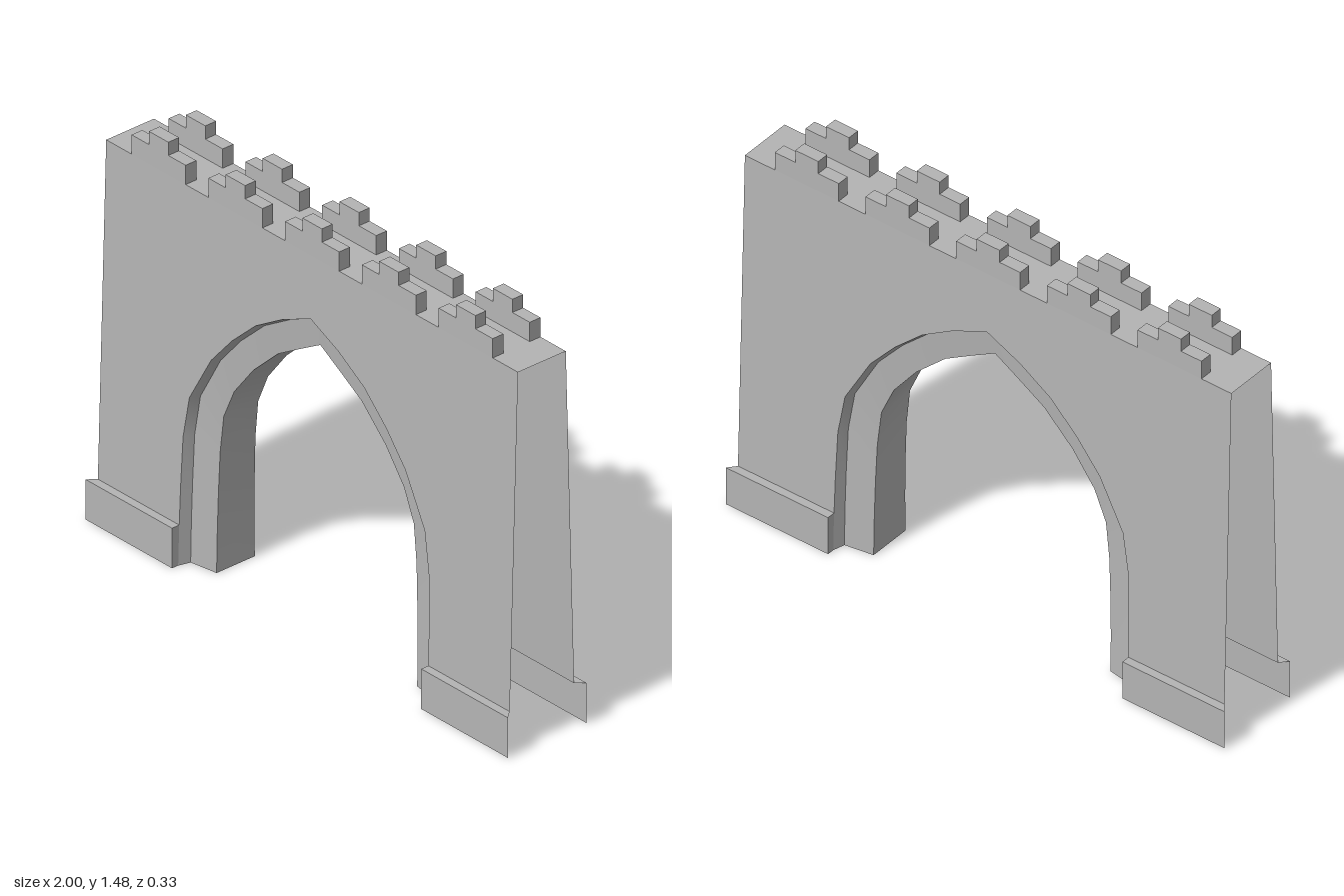
import * as THREE from 'three';

const stone = new THREE.MeshStandardMaterial({ color: 0xb4b4b4, side: THREE.DoubleSide });
stone.name = 'stone grey';

const TOP = 1.36, HALF = 0.975, PLINTH = 0.145;
const wallZ = (y) => 0.139 - 0.0287 * y; // the walls lean inward

// Right half of the arch, bottom to apex: outer edge and inner opening
const OUTER = [[0.59, 0], [0.59, PLINTH], [0.588, 0.28], [0.582, 0.465], [0.557, 0.615], [0.46, 0.79],
  [0.365, 0.9], [0.257, 1.0], [0.134, 1.075], [0, 1.135]];
const INNER = [[0.475, 0], [0.474, 0.15], [0.471, 0.29], [0.465, 0.44], [0.45, 0.575], [0.402, 0.685],
  [0.313, 0.8], [0.198, 0.908], [0.1, 0.967], [0, 1.025]];

function mesh(name, geometry) {
  const m = new THREE.Mesh(geometry, stone);
  m.name = name;
  return m;
}

// Smooth strip of quads between two rows of points; side = -1 mirrors it in x
function strip(name, a, b, side) {
  const pos = [], index = [];
  a.forEach((p, i) => {
    pos.push(side * p[0], p[1], p[2], side * b[i][0], b[i][1], b[i][2]);
    if (i === 0) return;
    const k = 2 * i - 2;
    const tris = [[k, k + 2, k + 1], [k + 1, k + 2, k + 3]];
    for (const [u, v, w] of tris) index.push(...(side > 0 ? [u, v, w] : [u, w, v]));
  });
  const g = new THREE.BufferGeometry();
  g.setAttribute('position', new THREE.Float32BufferAttribute(pos, 3));
  g.setIndex(index);
  g.computeVertexNormals();
  return mesh(name, g);
}

// Leaning wall face with the arch cut out of its lower edge
function wallGeometry() {
  const arch = OUTER.slice(1);
  const outline = [
    [HALF, PLINTH], [HALF, TOP], [-HALF, TOP], [-HALF, PLINTH],
    ...arch.map(([x, y]) => [-x, y]),
    ...arch.slice(0, -1).reverse(),
  ];
  const g = new THREE.ShapeGeometry(new THREE.Shape(outline.map(([x, y]) => new THREE.Vector2(x, y))));
  const p = g.attributes.position;
  for (let i = 0; i < p.count; i++) p.setZ(i, wallZ(p.getY(i)));
  g.computeVertexNormals();
  return g;
}

// Stepped battlement block
function merlonGeometry() {
  const w = 0.128, t = 0.046, h1 = 0.07, h2 = 0.118;
  const outline = [[-w, 0], [w, 0], [w, h1], [t, h1], [t, h2], [-t, h2], [-t, h1], [-w, h1]];
  const shape = new THREE.Shape(outline.map(([x, y]) => new THREE.Vector2(x, y)));
  return new THREE.ExtrudeGeometry(shape, { depth: 0.045, bevelEnabled: false });
}

// Rows of the arch moulding, front to middle
const outerRow = OUTER.map(([x, y]) => [x, y, wallZ(y)]);
const stepRow = OUTER.map(([x, y], i) => {
  const sx = x + (INNER[i][0] - x) * 0.1, sy = y + (INNER[i][1] - y) * 0.1;
  return [sx, sy, 0.097 - 0.0205 * sy];
});
const innerRow = INNER.map(([x, y]) => [x, y, 0.08 - 0.014 * y]);
const backZ = ([x, y, z]) => [x, y, -z];

// One face of the gate: wall, arch moulding, plinths and battlements
function buildFace(name) {
  const face = new THREE.Group();
  face.name = name;
  face.add(mesh('wall', wallGeometry()));

  const z0 = 0.165, z1 = wallZ(PLINTH);
  for (const s of [1, -1]) {
    face.add(strip('archStep', outerRow, stepRow, s));
    face.add(strip('archBevel', stepRow, innerRow, s));
    face.add(strip('plinthFront', [[0.59, 0, z0], [1, 0, z0]], [[0.59, PLINTH, z0], [1, PLINTH, z0]], s));
    face.add(strip('plinthLedge', [[0.59, PLINTH, z0], [1, PLINTH, z0]], [[0.59, PLINTH, z1], [HALF, PLINTH, z1]], s));
    face.add(strip('plinthEnd', [[0.59, 0, z0], [0.59, PLINTH, z0]], [[0.59, 0, wallZ(0)], [0.59, PLINTH, z1]], s));
  }

  const merlon = merlonGeometry();
  for (let i = -2; i <= 2; i++) {
    const m = mesh('merlon', merlon);
    m.position.set(i * 0.3635, TOP, 0.055);
    face.add(m);
  }
  return face;
}

export function createModel() {
  const gate = new THREE.Group();
  gate.name = 'castleGate';

  const front = buildFace('frontFace');
  const back = buildFace('backFace');
  back.rotation.y = Math.PI;
  gate.add(front, back);

  // Passage lining and the undersides of its feet
  for (const s of [1, -1]) {
    gate.add(strip('passageLining', innerRow, innerRow.map(backZ), s));
    gate.add(strip('footBase', [innerRow[0], backZ(innerRow[0])], [stepRow[0], backZ(stepRow[0])], s));
  }

  // Walkway deck between the battlements
  const deck = mesh('walkway', new THREE.PlaneGeometry(2 * HALF, 2 * wallZ(TOP)).rotateX(-Math.PI / 2));
  deck.position.y = TOP;
  gate.add(deck);

  return gate;
}
